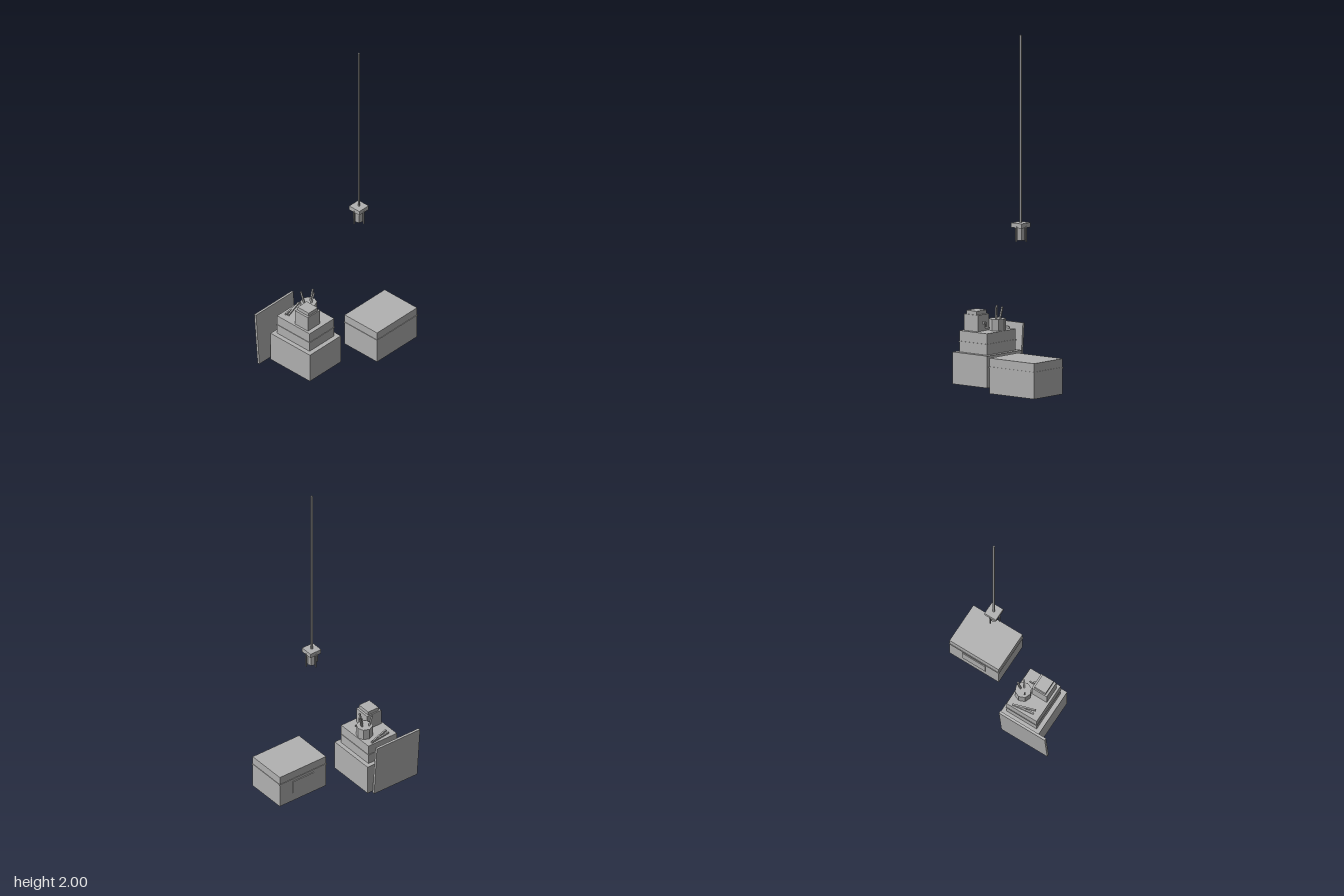
import * as THREE from 'three';

export function createModel() {
  const root = new THREE.Group();
  const grey = new THREE.MeshStandardMaterial({ color: 0xb2b2b2, flatShading: true });
  grey.name = 'plain grey';

  const add = (name, geometry, x, y, z) => {
    const mesh = new THREE.Mesh(geometry, grey);
    mesh.name = name;
    mesh.position.set(x, y, z);
    root.add(mesh);
    return mesh;
  };

  // axis-aligned box given by its [min, max] along each axis
  const block = (name, [x0, x1], [y0, y1], [z0, z1]) =>
    add(name, new THREE.BoxGeometry(x1 - x0, y1 - y0, z1 - z0),
      (x0 + x1) / 2, (y0 + y1) / 2, (z0 + z1) / 2);

  // square stick running between two points
  const stick = (name, from, to, width) => {
    const a = new THREE.Vector3(...from);
    const b = new THREE.Vector3(...to);
    const mid = a.clone().add(b).multiplyScalar(0.5);
    const mesh = add(name, new THREE.BoxGeometry(width, width, a.distanceTo(b)), mid.x, mid.y, mid.z);
    mesh.lookAt(b);
    return mesh;
  };

  // storage box with a thin band under the lid and a label plate
  block('storageBox', [0, 0.247], [0, 0.2], [-0.393, -0.069]);
  block('storageBoxBand', [-0.003, 0.25], [0.144, 0.152], [-0.396, -0.066]);
  block('labelPlate', [-0.005, 0], [0.057, 0.132], [-0.305, -0.155]);

  // stack of boxes
  block('bottomBox', [-0.2, 0.1], [0, 0.18], [0.069, 0.319]);
  block('middleBox', [-0.175, 0.073], [0.18, 0.3], [0.094, 0.293]);
  block('middleBoxBand', [-0.178, 0.076], [0.235, 0.241], [0.091, 0.296]);

  // crank sharpener on top of the stack
  block('sharpenerBody', [-0.05, 0.048], [0.3, 0.392], [0.181, 0.28]);
  block('sharpenerCap', [-0.043, 0.042], [0.392, 0.413], [0.194, 0.267]);
  block('crankShaft', [-0.007, 0.005], [0.34, 0.352], [0.167, 0.181]);
  block('crankArm', [-0.004, 0.002], [0.318, 0.352], [0.162, 0.168]);
  block('crankHandle', [-0.004, 0.002], [0.316, 0.324], [0.136, 0.165]);

  // eight-sided pencil cup with three leaning pencils
  add('pencilCup', new THREE.CylinderGeometry(0.047, 0.047, 0.065, 8), -0.077, 0.3325, 0.142);
  stick('pencil', [-0.077, 0.33, 0.133], [-0.077, 0.434, 0.107], 0.009);
  stick('pencil', [-0.067, 0.33, 0.141], [-0.047, 0.434, 0.13], 0.009);
  stick('pencil', [-0.086, 0.33, 0.157], [-0.107, 0.434, 0.172], 0.009);

  // two loose pencils lying in a V
  stick('loosePencil', [-0.163, 0.305, 0.126], [-0.146, 0.305, 0.256], 0.009);
  stick('loosePencil', [-0.163, 0.309, 0.133], [-0.125, 0.309, 0.254], 0.009);

  // board leaning outward
  const board = add('leaningBoard', new THREE.BoxGeometry(0.014, 0.325, 0.302), -0.233, 0.1635, 0.245);
  board.rotation.z = 0.08;

  // hanging lamp
  const lampX = 0.049, lampZ = -0.132;
  add('lampRod', new THREE.BoxGeometry(0.009, 1.055, 0.009), lampX, 1.4725, lampZ);
  add('lampPlate', new THREE.BoxGeometry(0.077, 0.026, 0.075), lampX, 0.932, lampZ);
  add('lampBody', new THREE.CylinderGeometry(0.027, 0.027, 0.075, 8), lampX, 0.885, lampZ);
  for (let i = 0; i < 4; i++) {
    const angle = i * Math.PI / 2;
    add('lampProng', new THREE.BoxGeometry(0.006, 0.088, 0.006),
      lampX + 0.038 * Math.cos(angle), 0.884, lampZ + 0.038 * Math.sin(angle));
  }

  return root;
}
